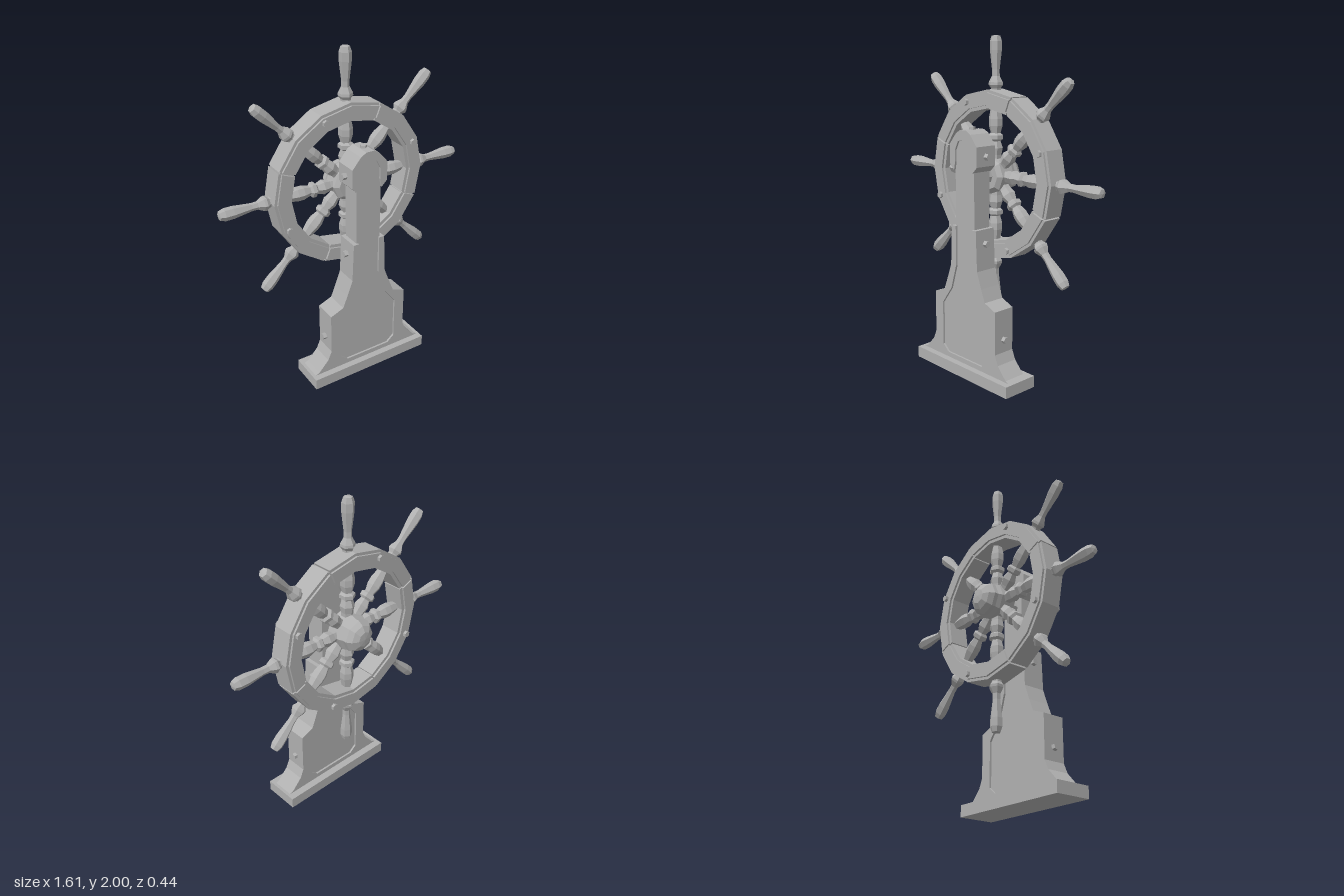
import * as THREE from 'three';

const stone = new THREE.MeshStandardMaterial({ color: 0xb0b0b0 });
stone.name = 'grey';

// Faceted mesh with a name
function part(name, geometry, parent, x = 0, y = 0, z = 0) {
  const g = geometry.index ? geometry.toNonIndexed() : geometry;
  g.computeVertexNormals();
  const mesh = new THREE.Mesh(g, stone);
  mesh.name = name;
  mesh.position.set(x, y, z);
  parent.add(mesh);
  return mesh;
}

// Flat outline extruded between two z values
function slab(points, z0, z1) {
  const shape = new THREE.Shape(points.map(([x, y]) => new THREE.Vector2(x, y)));
  return new THREE.ExtrudeGeometry(shape, { depth: z1 - z0, bevelEnabled: false }).translate(0, 0, z0);
}

// Right half of an outline, bottom to top, closed by its mirror image
const mirrored = half => [...half, ...half.slice().reverse().map(([x, y]) => [-x, y])];

const turned = (profile, sides) =>
  new THREE.LatheGeometry(profile.map(([r, y]) => new THREE.Vector2(r, y)), sides);

// Faceted arc of a ring
function arc(inner, outer, from, to, steps, depth) {
  const ring = (r, i) => {
    const a = THREE.MathUtils.degToRad(from + (to - from) * i / steps);
    return [r * Math.cos(a), r * Math.sin(a)];
  };
  const pts = [];
  for (let i = 0; i <= steps; i++) pts.push(ring(outer, i));
  for (let i = steps; i >= 0; i--) pts.push(ring(inner, i));
  return slab(pts, -depth / 2, depth / 2);
}

function buildStand() {
  const stand = new THREE.Group();
  stand.name = 'stand';
  part('basePlate', new THREE.BoxGeometry(0.8, 0.07, 0.226), stand, 0, 0.035, 0.107);

  // Recessed panel running the whole height of the post
  const panel = [[0.19, 0.1], [0.2, 0.14], [0.2, 0.41], [0.14, 0.5], [0.085, 0.65],
    [0.08, 0.91], [0.08, 1.36], [0.05, 1.41], [0.02, 1.425]];
  part('postPanel', slab(mirrored(panel), 0.052, 0.168), stand);

  // Frame around the lower panel, open at the top
  const outer = [[0.38, 0.07], [0.355, 0.08], [0.29, 0.15], [0.265, 0.207], [0.265, 0.466],
    [0.18, 0.5], [0.15, 0.575], [0.115, 0.67], [0.105, 0.91]];
  const inner = [[0.07, 0.91], [0.07, 0.67], [0.115, 0.52], [0.196, 0.41],
    [0.196, 0.14], [0.15, 0.1]];
  const frame = [...outer, ...inner, ...mirrored([...outer, ...inner]).slice(outer.length + inner.length)];
  part('lowerFrame', slab(frame, 0.04, 0.18), stand);

  // Arched frame around the head
  const head = [[0.07, 1.29], [0.08, 1.24], [0.115, 1.275], [0.115, 1.39],
    [0.06, 1.455], [0.025, 1.475]];
  const opening = [[-0.07, 1.29], [-0.07, 1.36], [-0.045, 1.41], [0, 1.422],
    [0.045, 1.41], [0.07, 1.36]];
  const arch = [...head, ...head.slice().reverse().map(([x, y]) => [-x, y]), ...opening.slice(1)];
  part('headFrame', slab(arch, 0.04, 0.18), stand);

  // Pegs through the sides and the top
  for (const [x, y] of [[0.262, 0.285], [0.107, 0.825], [0.115, 1.33]]) {
    for (const s of [-1, 1]) {
      const peg = part('sidePeg', new THREE.CylinderGeometry(0.019, 0.023, 0.05, 5), stand, s * x, y, 0.11);
      peg.rotation.z = -s * Math.PI / 2;
    }
  }
  part('topPeg', new THREE.CylinderGeometry(0.019, 0.023, 0.04, 5), stand, 0, 1.47, 0.11);
  return stand;
}

function buildWheel() {
  const wheel = new THREE.Group();
  wheel.name = 'wheel';
  wheel.position.set(0, 1.195, -0.073);

  // Rim: a core ring with four fitted sections and narrower face plates
  for (let q = 0; q < 4; q++) {
    const a = 67.5 + q * 90;
    part('rimCore', arc(0.402, 0.488, a, a + 90, 4, 0.11), wheel);
    part('rimSection', arc(0.392, 0.5, a + 0.6, a + 89.4, 4, 0.122), wheel);
    part('rimFacePlate', arc(0.412, 0.483, a + 0.6, a + 89.4, 4, 0.146), wheel);
    const b = THREE.MathUtils.degToRad(22.5 + q * 90);
    const bolt = part('rimBolt', new THREE.CylinderGeometry(0.02, 0.02, 0.182, 6), wheel,
      0.455 * Math.cos(b), 0.455 * Math.sin(b), 0);
    bolt.rotation.x = Math.PI / 2;
  }

  // Turned spokes and handles
  const spoke = [[0.034, 0.06], [0.036, 0.12], [0.044, 0.16], [0.03, 0.2], [0.046, 0.212],
    [0.046, 0.235], [0.03, 0.247], [0.042, 0.29], [0.042, 0.33], [0.028, 0.4]];
  const handle = [[0.03, 0.47], [0.03, 0.505], [0.044, 0.525], [0.042, 0.54], [0.024, 0.575],
    [0.023, 0.61], [0.036, 0.72], [0.036, 0.77], [0.026, 0.8], [0, 0.805]];
  for (let i = 0; i < 8; i++) {
    const arm = new THREE.Group();
    arm.name = 'arm';
    arm.rotation.z = i * Math.PI / 4;
    part('spoke', turned(spoke, 6), arm);
    part('handle', turned(handle, 6), arm);
    wheel.add(arm);
  }

  // Hub with a domed cap at the back and an axle into the post
  const hub = part('hub', turned([[0, -0.068], [0.085, -0.068], [0.11, -0.045], [0.11, 0.045],
    [0.1, 0.07], [0.1, 0.095], [0.08, 0.125], [0.045, 0.145], [0, 0.149]], 8), wheel);
  hub.rotation.x = -Math.PI / 2;
  const axle = part('axle', new THREE.CylinderGeometry(0.045, 0.045, 0.16, 8), wheel, 0, 0, 0.08);
  axle.rotation.x = Math.PI / 2;
  return wheel;
}

export function createModel() {
  const model = new THREE.Group();
  model.name = 'shipWheel';
  model.add(buildStand(), buildWheel());
  return model;
}
